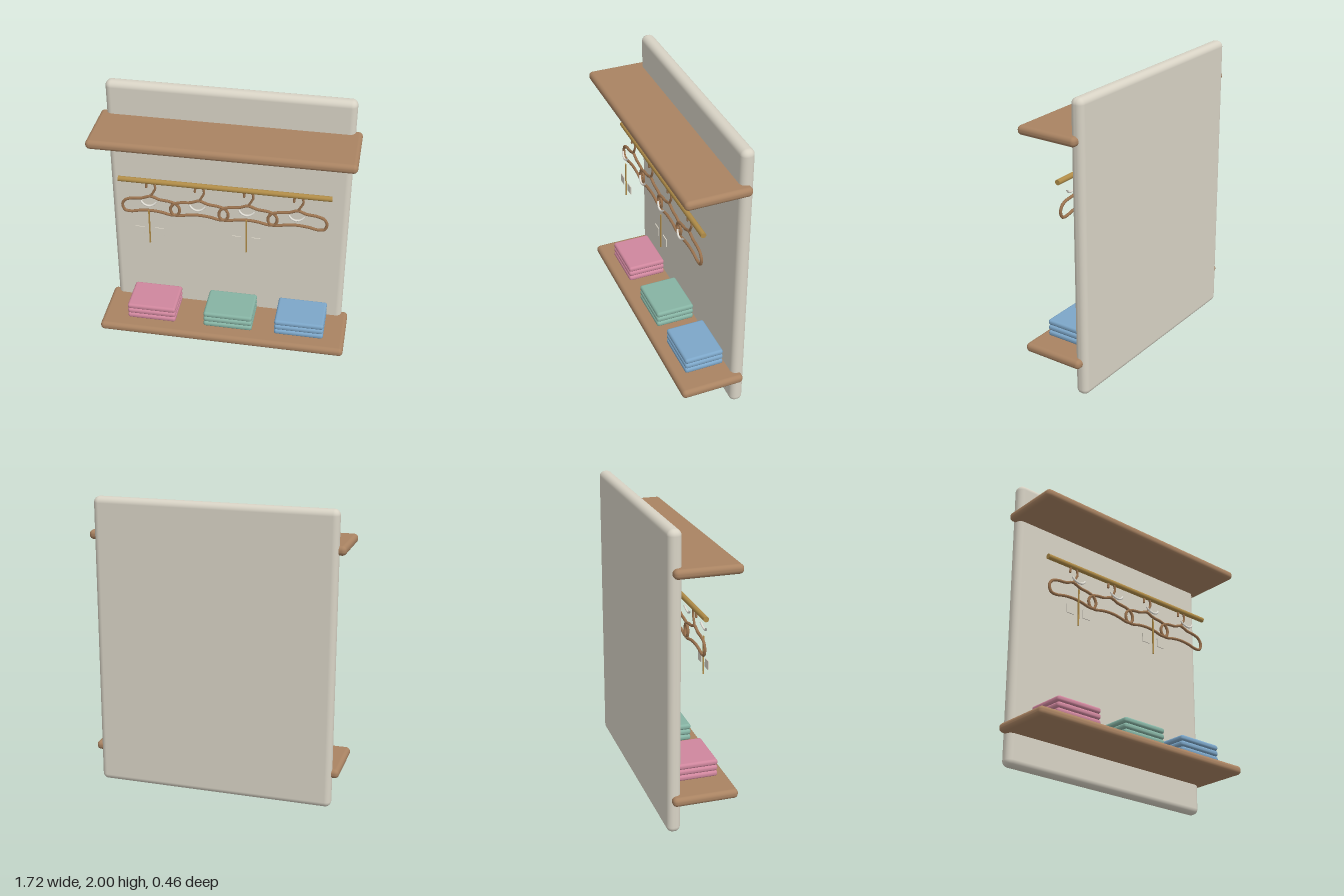
import * as THREE from 'three';
import { RoundedBoxGeometry } from 'three/addons/geometries/RoundedBoxGeometry.js';

function mat(name, color) {
  const m = new THREE.MeshStandardMaterial({ color });
  m.name = name;
  return m;
}

export function createModel() {
  const model = new THREE.Group();
  model.name = 'wardrobeWall';

  const cream = mat('cream', 0xd8d3c5);
  const wood = mat('wood', 0xa98362);
  const brass = mat('brass', 0xb08c48);
  const hangerWood = mat('hangerWood', 0x9c7450);
  const white = mat('white', 0xe4e1d8);
  const pink = mat('pink', 0xcf869d);
  const green = mat('green', 0x86b3a3);
  const blue = mat('blue', 0x7ca6c8);

  function add(parent, name, geometry, material, x = 0, y = 0, z = 0) {
    const mesh = new THREE.Mesh(geometry, material);
    mesh.name = name;
    mesh.position.set(x, y, z);
    parent.add(mesh);
    return mesh;
  }

  // back panel and the two shelves
  add(model, 'backPanel', new RoundedBoxGeometry(1.63, 2, 0.09, 5, 0.04), cream, 0, 1, -0.185);
  const shelf = new RoundedBoxGeometry(1.72, 0.062, 0.435, 5, 0.028);
  add(model, 'topShelf', shelf, wood, 0, 1.74, 0.0125);
  add(model, 'bottomShelf', shelf, wood, 0, 0.238, 0.0125);

  // hanging rail
  const rail = add(model, 'rail', new THREE.CylinderGeometry(0.018, 0.018, 1.415, 24), brass, 0, 1.393, 0.045);
  rail.rotation.z = Math.PI / 2;

  // hanger frame: half outline mirrored into a closed loop
  const half = [[0.06, 1.255], [0.13, 1.246], [0.175, 1.228], [0.195, 1.19],
    [0.18, 1.147], [0.14, 1.14], [0.07, 1.154]];
  const outline = [[0, 1.275], ...half, [0, 1.16],
    ...half.slice().reverse().map(([x, y]) => [-x, y])];
  const hook = [[0, 1.275], [0.02, 1.31], [0.034, 1.343], [0.026, 1.376],
    [0, 1.39], [-0.022, 1.376], [-0.027, 1.345]];
  const path = (points, closed) => new THREE.CatmullRomCurve3(
    points.map(([x, y]) => new THREE.Vector3(x, y, 0)), closed);
  const frameGeometry = new THREE.TubeGeometry(path(outline, true), 96, 0.01, 8, true);
  const hookGeometry = new THREE.TubeGeometry(path(hook, false), 32, 0.008, 8);
  const hookEnd = new THREE.SphereGeometry(0.008, 10, 8);

  // collar: a shallow smiling arc
  const arc = Math.PI * 0.75;
  const collarGeometry = new THREE.TorusGeometry(0.056, 0.007, 8, 24, arc);
  collarGeometry.rotateZ(-Math.PI / 2 - arc / 2);

  [-0.494, -0.166, 0.161, 0.489].forEach((x, i) => {
    const hanger = new THREE.Group();
    hanger.name = 'hanger' + (i + 1);
    hanger.position.set(x, 0, 0.045);
    model.add(hanger);
    add(hanger, 'hangerFrame', frameGeometry, hangerWood);
    add(hanger, 'hangerHook', hookGeometry, hangerWood);
    add(hanger, 'hookEnd', hookEnd, hangerWood, -0.027, 1.345, 0);
    const collar = add(hanger, 'collar', collarGeometry, white, 0, 1.298, 0.052);
    collar.rotation.x = -0.25;

    // every other garment has a button strip and two pockets
    if (i % 2 === 0) {
      add(hanger, 'buttonStrip', new THREE.BoxGeometry(0.009, 0.26, 0.008), brass, 0, 1.07, 0.06);
      for (const side of [-1, 1]) {
        add(hanger, 'pocket', new THREE.BoxGeometry(0.06, 0.06, 0.006), cream, side * 0.067, 1.035, 0.06);
      }
    }
  });

  // folded clothes in stacks of three
  const fold = new RoundedBoxGeometry(0.343, 0.039, 0.272, 4, 0.017);
  [[-0.502, pink], [0.042, green], [0.542, blue]].forEach(([x, material]) => {
    const stack = new THREE.Group();
    stack.name = material.name + 'Stack';
    stack.position.set(x, 0, 0.017);
    model.add(stack);
    for (let k = 0; k < 3; k++) add(stack, 'foldedGarment', fold, material, 0, 0.304 + k * 0.04, 0);
  });

  return model;
}
